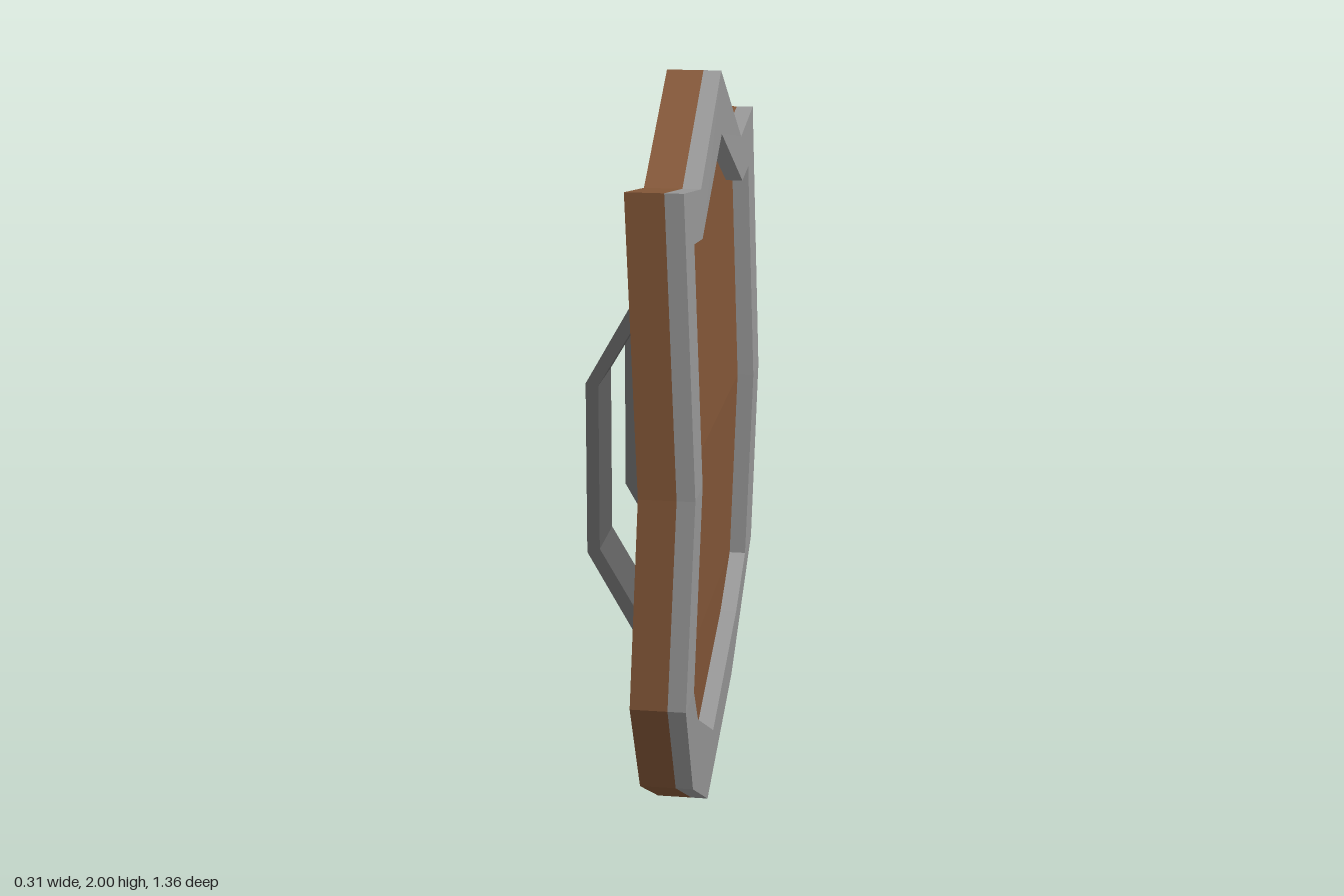
import * as THREE from 'three';

const wood = new THREE.MeshStandardMaterial({ color: 0x845738, flatShading: true });
const rimGrey = new THREE.MeshStandardMaterial({ color: 0x989898, flatShading: true });
const iron = new THREE.MeshStandardMaterial({ color: 0x5e5e5e, flatShading: true });

// Half outlines as [z, y], from the top point down to the bottom tip
const OUTER = [[0, 2], [0.4, 1.77], [0.68, 1.81], [0.66, 1.07], [0.68, 0.54], [0.4, 0.21], [0, 0]];
const INNER = [[0, 1.84], [0.4, 1.65], [0.54, 1.665], [0.533, 1.07], [0.535, 0.535], [0.4, 0.405], [0, 0.205]];
// Flat facets of the shield face, as indices into the closed outline
const BANDS = [[0, 1, 2, 3, 9, 10, 11], [3, 4, 8, 9], [4, 5, 7, 8], [5, 6, 7]];
// Depth layers, before bending
const BACK = -0.01, FACE = 0.083, FRONT = 0.128;

// Closed, mirrored outline, counter-clockwise seen from +x
const ring = (half) => [...half, ...half.slice(1, -1).reverse().map(([z, y]) => [-z, y])];

// Forward bow of the shield at a given height
const BEND = [[0, -0.027], [0.21, -0.012], [0.54, 0.009], [1.07, 0.028], [1.81, 0.002], [2, -0.001]];
function bend(y) {
  let i = 0;
  while (i < BEND.length - 2 && y > BEND[i + 1][0]) i++;
  const [y0, x0] = BEND[i], [y1, x1] = BEND[i + 1];
  return x0 + (x1 - x0) * (y - y0) / (y1 - y0);
}

const place = (outline, depth) => outline.map(([z, y]) => [depth + bend(y), y, z]);

// Join two rings with a strip of quads
function strip(out, a, b) {
  a.forEach((p, i) => {
    const j = (i + 1) % a.length;
    out.push(p, a[j], b[j], p, b[j], b[i]);
  });
}

function toMesh(name, points, material) {
  const geo = new THREE.BufferGeometry();
  geo.setAttribute('position', new THREE.Float32BufferAttribute(points.flat(), 3));
  geo.computeVertexNormals();
  const mesh = new THREE.Mesh(geo, material);
  mesh.name = name;
  return mesh;
}

// Bent wooden board
function board() {
  const outline = ring(OUTER);
  const back = place(outline, BACK), face = place(outline, FACE);
  const tris = [];
  for (const band of BANDS) {
    const flat = band.map((i) => new THREE.Vector2(-outline[i][0], outline[i][1]));
    for (const [a, b, c] of THREE.ShapeUtils.triangulateShape(flat, [])) {
      tris.push(face[band[a]], face[band[b]], face[band[c]]);
      tris.push(back[band[a]], back[band[c]], back[band[b]]);
    }
  }
  strip(tris, back, face);
  return toMesh('woodenBoard', tris, wood);
}

// Raised border on the front of the board
function rim() {
  const outer = ring(OUTER), inner = ring(INNER);
  const loops = [place(outer, FACE), place(outer, FRONT), place(inner, FRONT), place(inner, FACE)];
  const tris = [];
  for (let k = 0; k < 3; k++) strip(tris, loops[k], loops[k + 1]);
  return toMesh('rim', tris, rimGrey);
}

// Angular grip on the back
function handle(name, z) {
  const profile = [
    [0.005, 1.49], [-0.035, 1.49], [-0.157, 1.275], [-0.157, 0.835], [-0.035, 0.62],
    [0.005, 0.62], [-0.125, 0.845], [-0.125, 1.27],
  ].map(([x, y]) => new THREE.Vector2(x, y));
  const geo = new THREE.ExtrudeGeometry(new THREE.Shape(profile), { depth: 0.182, bevelEnabled: false });
  const mesh = new THREE.Mesh(geo, iron);
  mesh.name = name;
  mesh.position.z = z - 0.091;
  return mesh;
}

export function createModel() {
  const group = new THREE.Group();
  group.name = 'shield';
  group.add(board(), rim(), handle('frontHandle', 0.291), handle('rearHandle', -0.293));
  return group;
}
